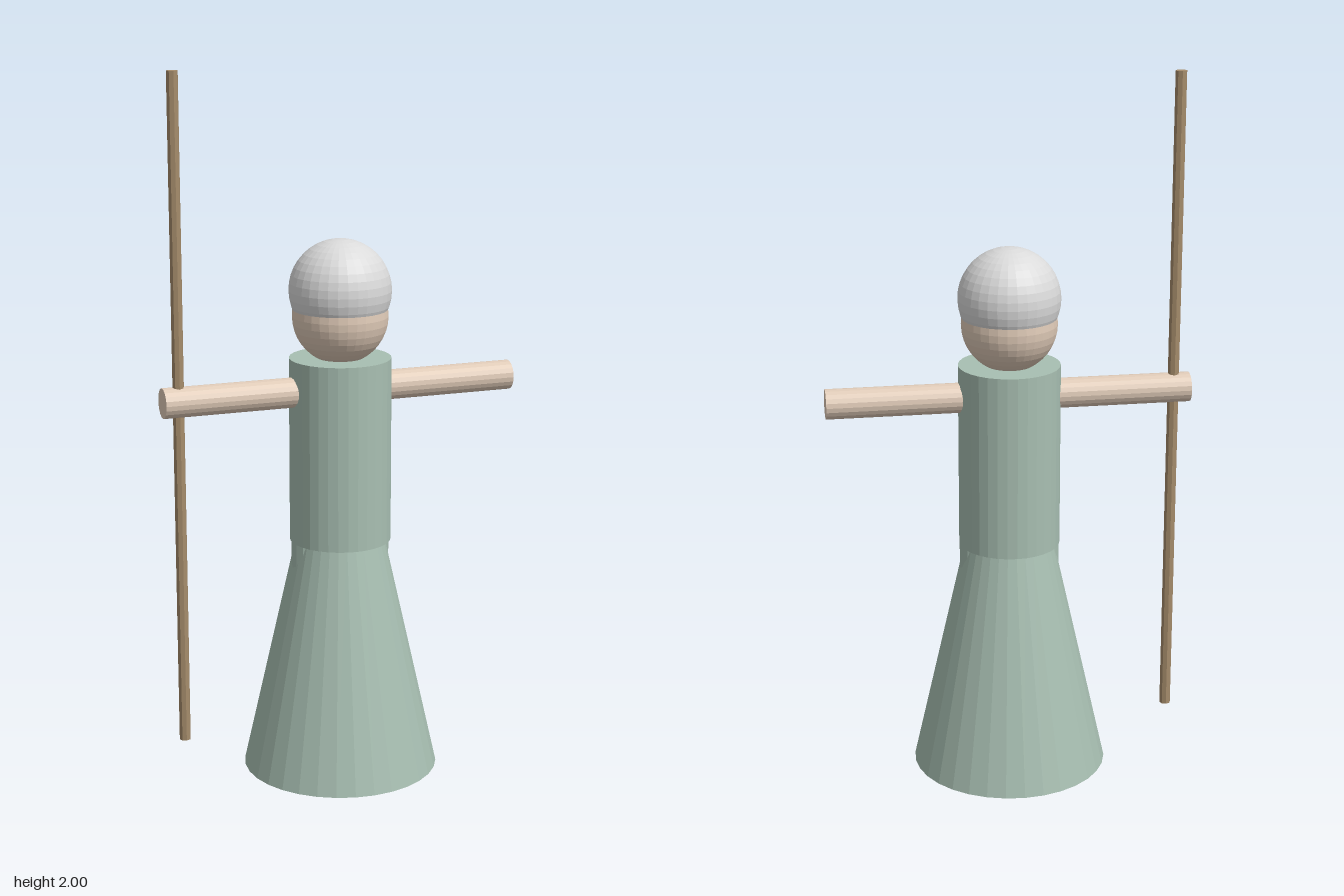
import * as THREE from 'three';

function material(name, color) {
  const m = new THREE.MeshStandardMaterial({ color, flatShading: true });
  m.name = name;
  return m;
}

export function createModel() {
  const model = new THREE.Group();
  model.name = 'robedFigure';

  const robe = material('sage green', 0xa8bfb2);
  const skin = material('pale skin', 0xe0cbb8);
  const hairGrey = material('light grey', 0xdadada);
  const wood = material('staff wood', 0xa58c6b);

  const add = (name, geometry, mat, x = 0, y = 0) => {
    const mesh = new THREE.Mesh(geometry, mat);
    mesh.name = name;
    mesh.position.set(x, y, 0);
    model.add(mesh);
    return mesh;
  };
  // Upright cylinder or cone between two heights
  const column = (name, rTop, rBottom, y0, y1, sides, mat, x = 0) =>
    add(name, new THREE.CylinderGeometry(rTop, rBottom, y1 - y0, sides), mat, x, (y0 + y1) / 2);

  // Robe: flared skirt and straight torso
  column('skirt', 0.123, 0.278, 0, 0.69, 32, robe);
  column('torso', 0.143, 0.143, 0.675, 1.2, 32, robe);

  for (const side of [-1, 1]) {
    const label = side > 0 ? 'left' : 'right';
    // Legs, emerging slightly from the skirt below the torso
    column(label + 'Leg', 0.056, 0.056, 0.02, 0.69, 16, robe, side * 0.087);
    // Outstretched arms
    const arm = add(label + 'Arm', new THREE.CylinderGeometry(0.042, 0.042, 0.413, 20), skin, side * 0.3065, 1.11);
    arm.rotation.z = Math.PI / 2;
  }

  // Head with a rounded cap of hair
  add('head', new THREE.SphereGeometry(0.134, 32, 20), skin, 0, 1.317);
  add('hair', new THREE.SphereGeometry(0.143, 32, 20), hairGrey, 0, 1.389);

  // Staff through the right hand
  column('staff', 0.016, 0.016, 0.13, 2, 8, wood, -0.468);

  return model;
}
